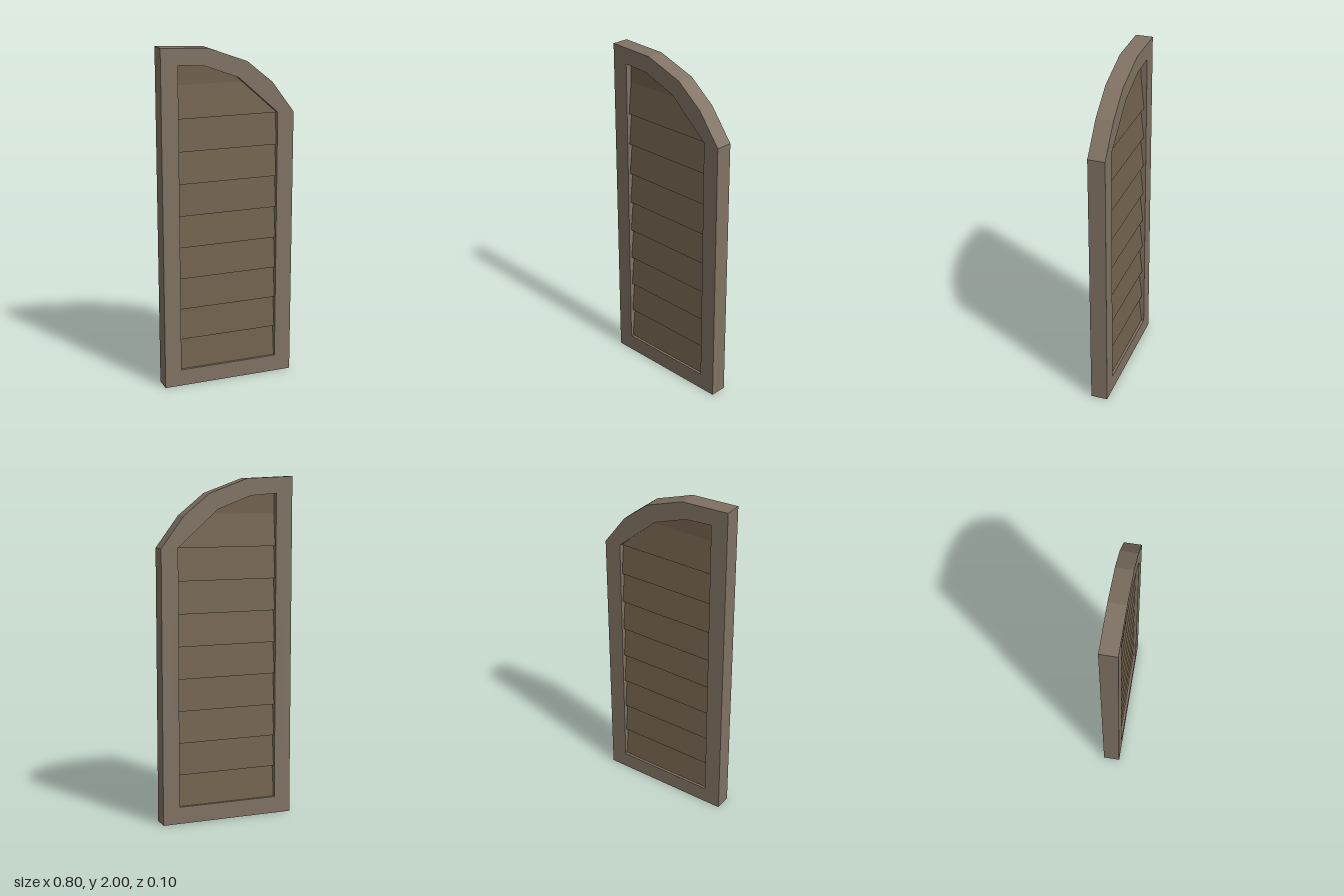
import * as THREE from 'three';

const FRAME = new THREE.MeshStandardMaterial({ color: 0x807263, flatShading: true });
const SLAT = new THREE.MeshStandardMaterial({ color: 0x70604c, flatShading: true });

const toPoints = (pairs) => pairs.map(([x, y]) => new THREE.Vector2(x, y));

// Flat prism from an outline, centred on z = 0
function prism(shape, depth) {
  const geometry = new THREE.ExtrudeGeometry(shape, { depth, bevelEnabled: false });
  return geometry.translate(0, 0, -depth / 2);
}

// Prism whose half thickness follows a rule in y
function taperedPanel(name, outline, halfDepth) {
  const geometry = prism(new THREE.Shape(toPoints(outline)), 2);
  const pos = geometry.attributes.position;
  for (let i = 0; i < pos.count; i++) {
    pos.setZ(i, Math.sign(pos.getZ(i)) * halfDepth(pos.getY(i)));
  }
  geometry.computeVertexNormals();
  const mesh = new THREE.Mesh(geometry, SLAT);
  mesh.name = name;
  return mesh;
}

export function createModel() {
  const group = new THREE.Group();
  group.name = 'louveredShutter';

  // Frame with a half-arched top and a matching opening
  const outer = new THREE.Shape(toPoints([
    [-0.4, 0], [0.4, 0], [0.4, 1.6], [0.265, 1.78], [0.11, 1.905], [-0.12, 1.988], [-0.4, 2],
  ]));
  outer.holes.push(new THREE.Path(toPoints([
    [-0.3, 0.1], [-0.3, 1.903], [-0.14, 1.89], [0.06, 1.815], [0.3, 1.603], [0.3, 0.1],
  ])));
  const frame = new THREE.Mesh(prism(outer, 0.1), FRAME);
  frame.name = 'frame';
  group.add(frame);

  // Wedge slats, thick at the lower edge and thin at the upper edge
  const bottom = 0.1, pitch = 0.1875, count = 8;
  const thick = 0.035, thin = 0.015;
  const wedge = (y0) => (y) => THREE.MathUtils.lerp(thick, thin, (y - y0) / pitch);
  for (let i = 0; i < count; i++) {
    const y0 = bottom + i * pitch, y1 = y0 + pitch;
    group.add(taperedPanel('slat', [[-0.3, y0], [0.3, y0], [0.3, y1], [-0.3, y1]], wedge(y0)));
  }

  // Top slat cut to the arch, with a thin flat panel above it
  const y0 = bottom + count * pitch, y1 = y0 + pitch;
  group.add(taperedPanel('topSlat', [[-0.3, y0], [0.3, y0], [0.091, y1], [-0.3, y1]], wedge(y0)));
  group.add(taperedPanel('archPanel',
    [[-0.3, y1], [0.091, y1], [0.06, 1.815], [-0.14, 1.89], [-0.3, 1.903]], () => thin));

  return group;
}
